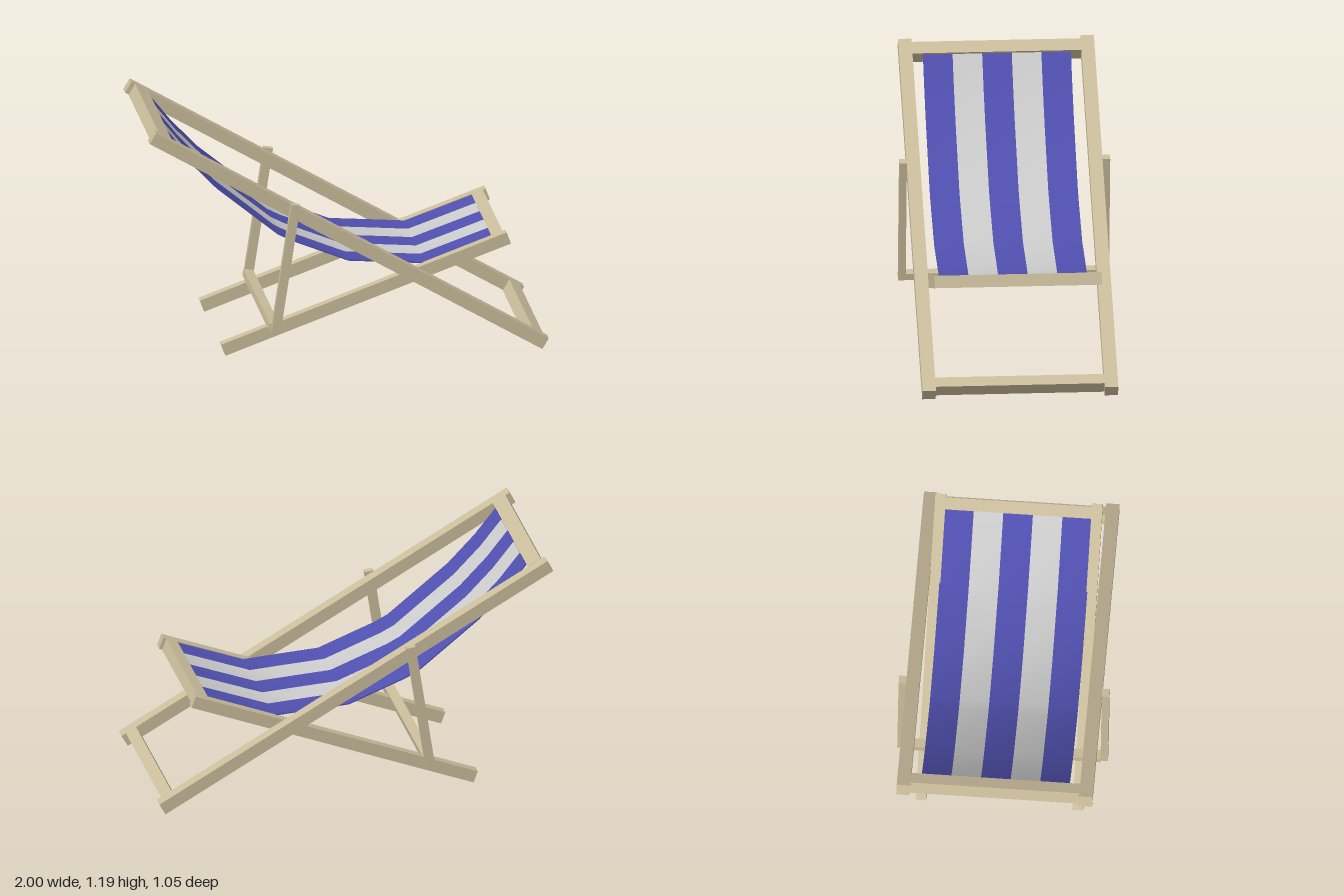
import * as THREE from 'three';
import { toCreasedNormals } from 'three/addons/utils/BufferGeometryUtils.js';

const wood = new THREE.MeshStandardMaterial({ color: 0xcabd9c });
const blue = new THREE.MeshStandardMaterial({ color: 0x5050b0, side: THREE.DoubleSide });
const grey = new THREE.MeshStandardMaterial({ color: 0xcccccc, side: THREE.DoubleSide });

export function createModel() {
  const chair = new THREE.Group();
  chair.name = 'deckChair';

  // Square-cut timber centred at (x, y, z), turned in the side plane
  function timber(name, x, y, z, length, height, depth, angle) {
    const mesh = new THREE.Mesh(new THREE.BoxGeometry(length, height, depth), wood);
    mesh.name = name;
    mesh.position.set(x, y, z);
    mesh.rotation.z = angle;
    chair.add(mesh);
  }

  // Mirrored pair of timbers running from a to b; returns their slope
  function rails(name, a, b, height, zInner, zOuter) {
    const dx = b[0] - a[0], dy = b[1] - a[1];
    const angle = Math.atan2(dy, dx);
    for (const s of [1, -1]) {
      timber(name + (s > 0 ? 'Front' : 'Back'), (a[0] + b[0]) / 2, (a[1] + b[1]) / 2,
        s * (zInner + zOuter) / 2, Math.hypot(dx, dy), height, zOuter - zInner, angle);
    }
    return angle;
  }

  // Long back frame
  const backAngle = rails('backRail', [-0.984, 1.168], [0.983, 0.029], 0.063, 0.42, 0.487);
  timber('headBar', -0.933, 1.138, 0, 0.075, 0.066, 0.84, backAngle);
  timber('footBar', 0.934, 0.056, 0, 0.06, 0.066, 0.84, backAngle);

  // Short seat frame
  const seatAngle = rails('seatRail', [-0.621, 0.038], [0.809, 0.562], 0.062, 0.363, 0.416);
  timber('seatBar', 0.766, 0.546, 0, 0.06, 0.062, 0.726, seatAngle);

  // Props outside the back frame, joined by a bar resting on the seat rails
  const propAngle = rails('prop', [-0.372, 0.15], [-0.272, 0.805], 0.045, 0.487, 0.524);
  timber('propBar', -0.376, 0.166, 0, 0.05, 0.034, 0.974, propAngle - Math.PI / 2);

  // Sagging cloth: a thin profile extruded once for each stripe
  const sag = [[-0.885, 1.14], [-0.78, 1.008], [-0.645, 0.867], [-0.34, 0.618], [-0.275, 0.584],
    [0.013, 0.468], [0.22, 0.453], [0.39, 0.44], [0.732, 0.562]];
  const upper = sag.map(([x, y]) => new THREE.Vector2(x, y));
  const lower = upper.map((p, i) => {
    const a = upper[Math.max(i - 1, 0)], b = upper[Math.min(i + 1, upper.length - 1)];
    const t = b.clone().sub(a).normalize();
    return new THREE.Vector2(p.x + t.y * 0.006, p.y - t.x * 0.006);
  });
  const profile = new THREE.Shape([...upper, ...lower.reverse()]);
  const cloth = new THREE.Group();
  cloth.name = 'cloth';
  const width = 0.736, count = 5, stripe = width / count;
  for (let i = 0; i < count; i++) {
    const geometry = new THREE.ExtrudeGeometry(profile, { depth: stripe, bevelEnabled: false });
    const mesh = new THREE.Mesh(toCreasedNormals(geometry, 0.6), i % 2 ? grey : blue);
    mesh.name = 'stripe' + (i + 1);
    mesh.position.z = -width / 2 + i * stripe;
    cloth.add(mesh);
  }
  chair.add(cloth);

  return chair;
}
